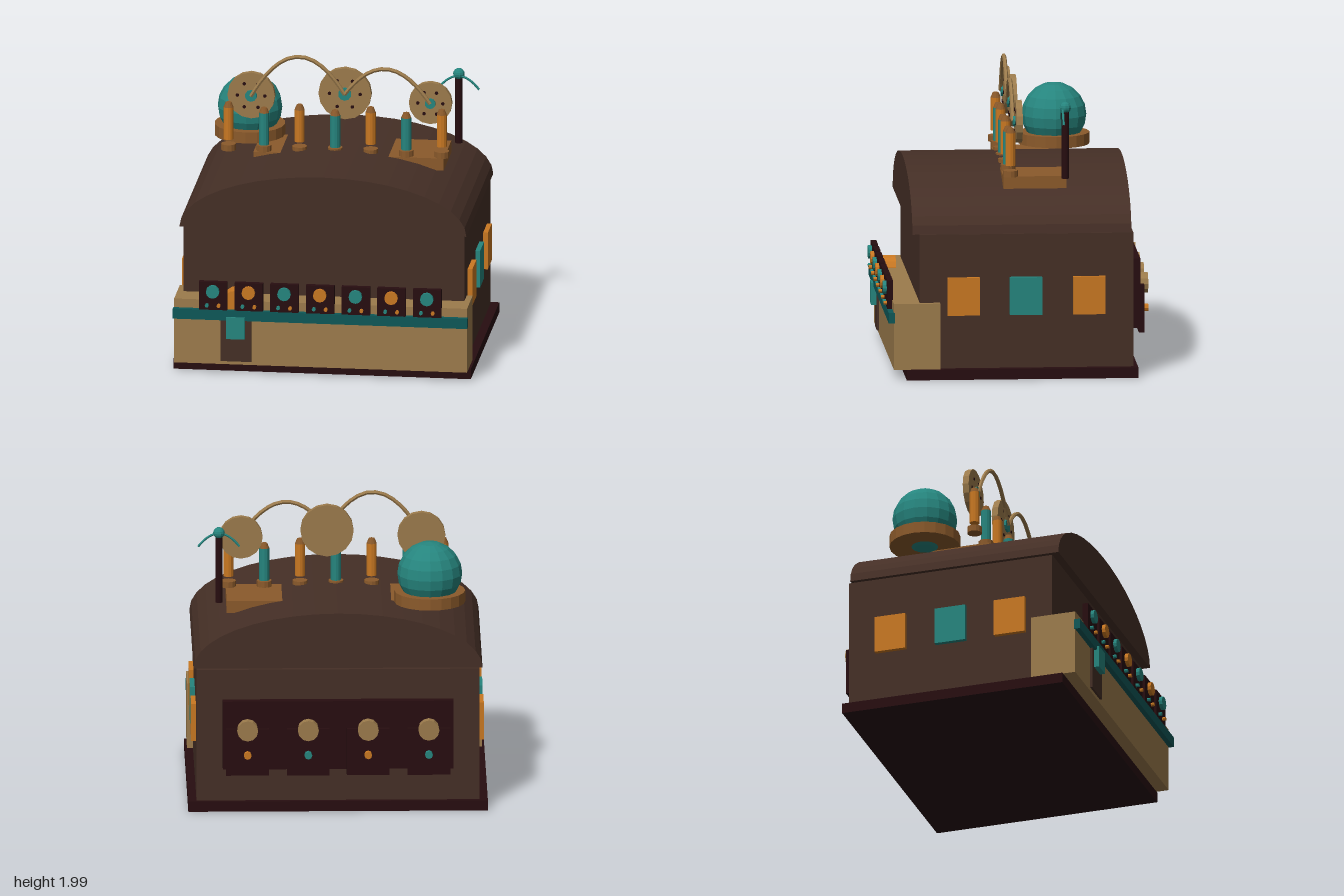
import * as THREE from 'three';

const mat = (name, color, flatShading = false) => {
  const m = new THREE.MeshStandardMaterial({ color, flatShading });
  m.name = name;
  return m;
};

export function createModel() {
  const root = new THREE.Group();
  const brown = mat('walnut', 0x452f26);
  const dark = mat('ebony', 0x270d10);
  const tan = mat('brass', 0x9c7b4c, true);
  const copper = mat('copper', 0x8b5a2b, true);
  const orange = mat('amber', 0xc97822, true);
  const teal = mat('verdigris', 0x26857e, true);
  const rail = mat('deepTeal', 0x0e5858);

  const add = (name, geo, material, x = 0, y = 0, z = 0) => {
    const m = new THREE.Mesh(geo, material);
    m.name = name;
    m.position.set(x, y, z);
    root.add(m);
    return m;
  };
  // box given by its limits on each axis
  const box = (name, material, x0, x1, y0, y1, z0, z1) =>
    add(name, new THREE.BoxGeometry(x1 - x0, y1 - y0, z1 - z0), material,
      (x0 + x1) / 2, (y0 + y1) / 2, (z0 + z1) / 2);
  // upright cylinder between two heights
  const post = (name, material, r, x, y0, y1, z, sides = 12, rTop = r) =>
    add(name, new THREE.CylinderGeometry(rTop, r, y1 - y0, sides), material, x, (y0 + y1) / 2, z);
  // disc with its axis along z
  const disc = (name, material, r, x, y, z0, z1, sides = 12) =>
    add(name, new THREE.CylinderGeometry(r, r, z1 - z0, sides).rotateX(Math.PI / 2),
      material, x, y, (z0 + z1) / 2);
  // arched tube
  const arch = (name, material, r, a, c, b) =>
    add(name, new THREE.TubeGeometry(new THREE.QuadraticBezierCurve3(
      new THREE.Vector3(...a), new THREE.Vector3(...c), new THREE.Vector3(...b)), 14, r, 6), material);

  // Cabinet
  box('plinth', dark, -1, 1, 0, 0.07, -0.8, 0.75);
  box('body', brown, -0.945, 0.945, 0.07, 0.975, -0.77, 0.66);

  // Arched roof
  const arc = new THREE.Shape();
  const steps = 20;
  for (let i = 0; i <= steps; i++) {
    const a = (i / steps) * Math.PI;
    const x = 0.965 * Math.cos(a), y = 0.98 + 0.377 * Math.sin(a);
    if (i) arc.lineTo(x, y); else arc.moveTo(x, y);
  }
  arc.closePath();
  add('roof', new THREE.ExtrudeGeometry(arc, { depth: 1.465, bevelEnabled: false }), brown, 0, 0, -0.755);

  // Front counter with rail, coin drum, slot and flap
  box('counter', tan, -0.985, 0.985, 0.07, 0.515, 0.525, 0.835);
  box('counterRail', rail, -0.99, 0.99, 0.385, 0.455, 0.83, 0.87);
  disc('drum', orange, 0.103, -0.567, 0.483, 0.72, 0.842, 16);
  box('slot', brown, -0.67, -0.465, 0.095, 0.385, 0.8, 0.85);
  box('flap', teal, -0.63, -0.505, 0.26, 0.41, 0.85, 0.885);

  // Front control panels
  for (let i = -3; i <= 3; i++) {
    const x = i * 0.24;
    box('controlPanel', dark, x - 0.095, x + 0.095, 0.455, 0.648, 0.83, 0.868);
    disc('controlKnob', i % 2 ? teal : orange, 0.045, x, 0.585, 0.868, 0.892);
    disc('leftButton', teal, 0.013, x - 0.04, 0.488, 0.868, 0.89, 8);
    disc('rightButton', orange, 0.013, x + 0.04, 0.488, 0.868, 0.89, 8);
  }

  // Side windows
  for (const s of [-1, 1]) {
    [0.367, -0.05, -0.473].forEach((z, i) => {
      const w = box('sideWindow', i === 1 ? teal : orange, -0.02, 0.02, 0.43, 0.685, z - 0.108, z + 0.108);
      w.position.x = s * 0.957;
    });
  }

  // Back board and dials
  box('backBoard', dark, -0.77, 0.77, 0.3, 0.77, -0.828, -0.76);
  [-0.605, -0.2, 0.2, 0.605].forEach((x, i) => {
    box('backPanel', dark, x - 0.143, x + 0.143, 0.265, 0.585, -0.857, -0.82);
    disc('backDial', tan, 0.07, x, 0.58, -0.888, -0.82);
    disc('backButton', i % 2 ? orange : teal, 0.026, x, 0.41, -0.892, -0.85, 8);
  });

  // Roof platform and valve tubes
  box('platform', copper, -0.545, 0.735, 1.245, 1.328, -0.335, 0.085);
  for (let i = -3; i <= 3; i++) {
    const x = i * 0.239, lift = i % 2 ? 0.03 : 0;
    const isOrange = i % 2 !== 0;
    post('valveBase', copper, 0.05, x, 1.325, 1.368, 0.038);
    post('valve', isOrange ? orange : teal, 0.034, x, 1.37 + lift, 1.592 + lift, 0.038);
    post('valveCap', copper, 0.034, x, 1.592 + lift, 1.626 + lift, 0.038, 12, 0.02);
  }

  // Dome globe on its ring
  post('globeBase', copper, 0.237, -0.62, 1.325, 1.402, -0.345, 20);
  add('globe', new THREE.SphereGeometry(0.217, 16, 10), teal, -0.62, 1.52, -0.345);

  // Perforated wheels
  const wheels = [[-0.57, 1.695, 0.16], [0.06, 1.73, 0.178], [0.635, 1.685, 0.145]];
  for (const [x, y, r] of wheels) {
    disc('wheel', tan, r, x, y, -0.042, 0, 16);
    disc('wheelHub', teal, r * 0.25, x, y, -0.01, 0.015, 10);
    for (let k = 0; k < 6; k++) {
      const a = (k * Math.PI) / 3;
      disc('wheelHole', dark, 0.012, x + r * 0.58 * Math.cos(a), y + r * 0.58 * Math.sin(a), -0.005, 0.004, 8);
    }
  }

  // Arched pipes joining the wheels
  arch('longPipe', tan, 0.014, [-0.57, 1.695, 0.015], [-0.255, 2.25, 0.015], [0.06, 1.73, 0.015]);
  arch('shortPipe', tan, 0.014, [0.06, 1.73, 0.015], [0.345, 2.125, 0.015], [0.635, 1.685, 0.015]);

  // Mast with ball and drooping arm
  post('mast', dark, 0.025, 0.787, 1.32, 1.78, -0.325, 10);
  add('mastBall', new THREE.SphereGeometry(0.039, 10, 8), teal, 0.787, 1.8, -0.325);
  arch('mastArm', teal, 0.008, [0.65, 1.7, -0.305], [0.787, 1.88, -0.305], [0.925, 1.7, -0.305]);

  return root;
}
